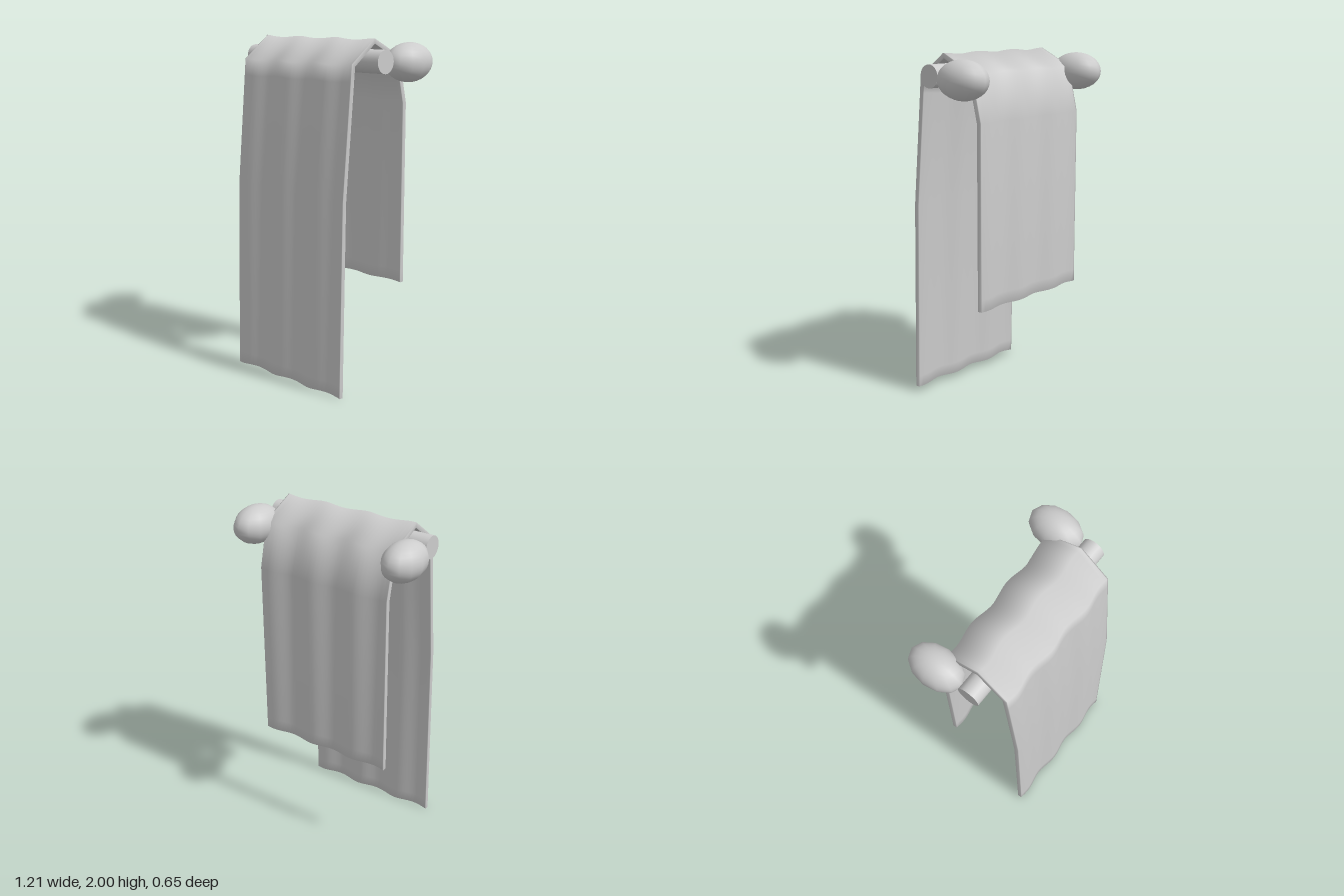
import * as THREE from 'three';

const grey = new THREE.MeshStandardMaterial({ color: 0xcccccc });
grey.name = 'lightGrey';

// Midline of the cloth in [z, y], from the front hem over the bar to the back hem
const PATH = [
  [0.305, 0.005], [0.304, 0.07], [0.284, 1.12], [0.226, 1.77], [0.218, 1.857],
  [0.05, 1.981], [-0.147, 1.886], [-0.208, 1.63], [-0.208, 0.65], [-0.208, 0.58],
];
const HALF_THICK = 0.012, HALF_WIDTH = 0.428, PERIOD = 0.29, COLUMNS = 36;

// Closed cross-section: outer side forwards, inner side back again
function clothSection() {
  const unit = (a, b) => new THREE.Vector2(b[1] - a[1], a[0] - b[0]).normalize();
  const outer = [], inner = [];
  PATH.forEach((p, k) => {
    const n1 = unit(PATH[Math.max(k - 1, 0)], PATH[Math.max(k, 1)]);
    const last = PATH.length - 1;
    const n2 = unit(PATH[Math.min(k, last - 1)], PATH[Math.min(k + 1, last)]);
    const n = n1.clone().add(n2).normalize();
    const d = HALF_THICK / n.dot(n1);
    outer.push([p[0] + n.x * d, p[1] + n.y * d]);
    inner.unshift([p[0] - n.x * d, p[1] - n.y * d]);
  });
  return [...outer, ...inner];
}

function clothGeometry() {
  const ring = clothSection(), R = ring.length, n = PATH.length;
  // Narrow columns at both side edges keep the edges tight
  const xs = [-HALF_WIDTH];
  for (let i = 0; i <= COLUMNS; i++) xs.push((HALF_WIDTH - 0.006) * (2 * i / COLUMNS - 1));
  xs.push(HALF_WIDTH);
  const pos = [], idx = [];
  const quad = (a, b, c, d) => idx.push(a, b, c, a, c, d);
  for (const x of xs) {
    const waveZ = 0.01 * Math.cos(2 * Math.PI * (x + 0.07) / PERIOD);
    const waveY = 0.005 * Math.cos(2 * Math.PI * (x + 0.15) / PERIOD);
    for (const [z, y] of ring) pos.push(x, y + waveY * (y - 1), z + waveZ);
  }
  for (let i = 0; i < xs.length - 1; i++) {
    for (let j = 0; j < R; j++) {
      const k = (j + 1) % R;
      quad(i * R + j, (i + 1) * R + j, (i + 1) * R + k, i * R + k);
    }
  }
  // Side edges
  const end = (xs.length - 1) * R;
  for (let k = 0; k < n - 1; k++) {
    const a = k, b = R - 1 - k, c = R - 2 - k, d = k + 1;
    quad(end + a, end + b, end + c, end + d);
    quad(a, d, c, b);
  }
  const g = new THREE.BufferGeometry();
  g.setAttribute('position', new THREE.Float32BufferAttribute(pos, 3));
  g.setIndex(idx);
  g.computeVertexNormals();
  return g;
}

export function createModel() {
  const group = new THREE.Group();
  group.name = 'towelRail';
  const add = (name, geometry, x, y, z) => {
    const mesh = new THREE.Mesh(geometry, grey);
    mesh.name = name;
    mesh.position.set(x, y, z);
    group.add(mesh);
    return mesh;
  };

  add('towel', clothGeometry(), 0, 0, 0);

  // Horizontal bar under the towel
  const bar = new THREE.CylinderGeometry(0.065, 0.065, 1.046, 24);
  add('bar', bar, 0, 1.877, 0.065).rotation.z = Math.PI / 2;

  // Egg-shaped wall mounts
  const mount = new THREE.SphereGeometry(1, 12, 16).scale(0.11, 0.11, 0.163);
  for (const s of [-1, 1]) add(s > 0 ? 'leftMount' : 'rightMount', mount, s * 0.495, 1.866, -0.162);

  return group;
}
